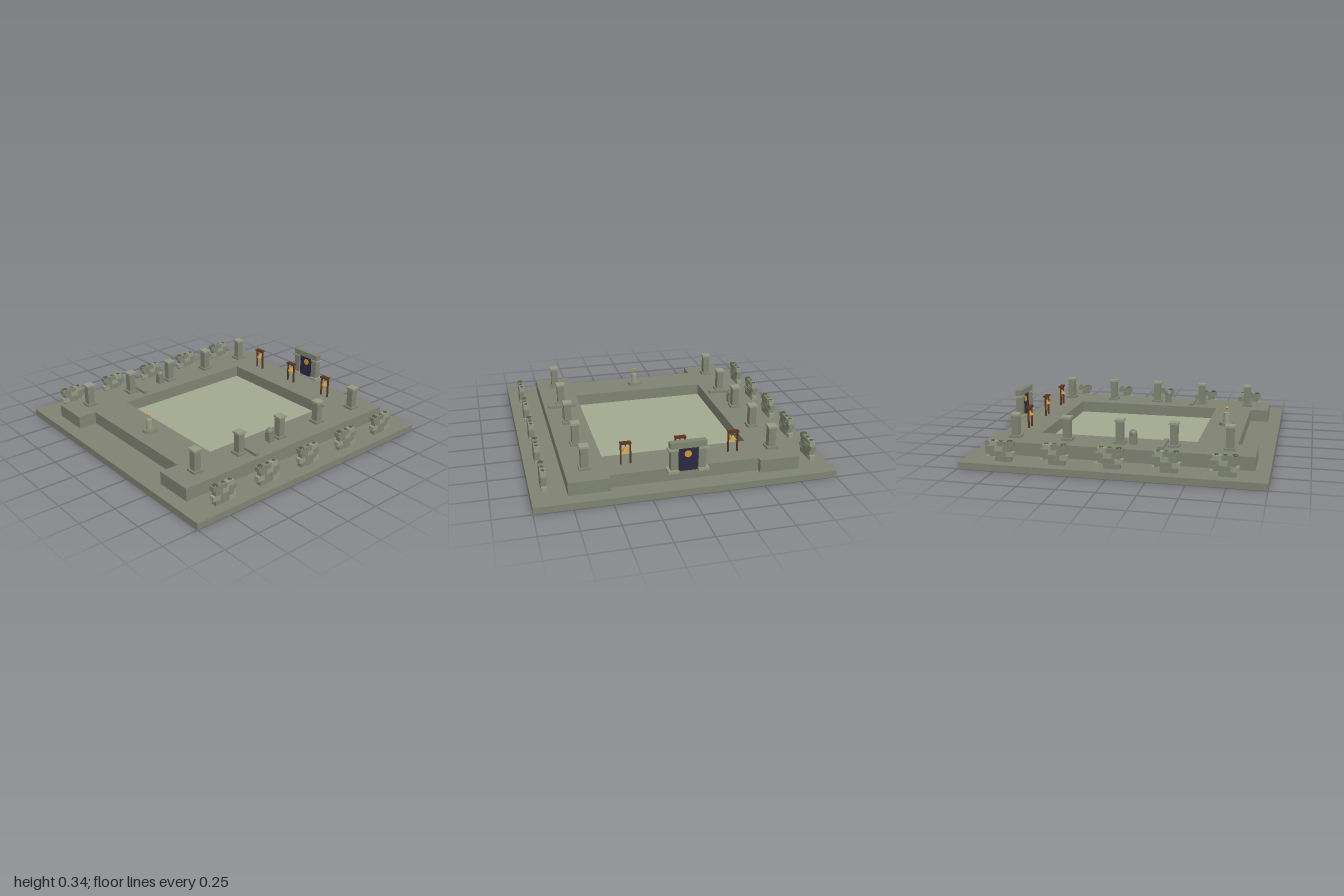
import * as THREE from 'three';

const mat = (color) => new THREE.MeshStandardMaterial({ color, flatShading: true });
const M = {
  stone: mat(0x7f8372), floor: mat(0xa3a88f), pale: mat(0x959a84), dark: mat(0x6f7463),
  moss: mat(0x4a5c3a), wood: mat(0x5c3420), gold: mat(0xc8963a), night: mat(0x2c2942),
};
const ROWS = [-0.73, -0.365, 0, 0.365, 0.73];
const DECK = 0.135;

function add(parent, name, geometry, material, x, y, z) {
  const m = new THREE.Mesh(geometry, material);
  m.name = name;
  m.position.set(x, y, z);
  parent.add(m);
  return m;
}

// Box given by its bottom height
const box = (parent, name, material, w, h, d, x, y, z) =>
  add(parent, name, new THREE.BoxGeometry(w, h, d), material, x, y + h / 2, z);

function group(parent, name, x, y, z) {
  const g = new THREE.Group();
  g.name = name;
  g.position.set(x, y, z);
  parent.add(g);
  return g;
}

// Raised walkway around the sunken court
function terrace(root) {
  const outline = [
    [-0.77, 0.905], [-0.5, 0.905], [-0.5, 0.77], [0.5, 0.77], [0.5, 0.905], [0.77, 0.905],
    [0.77, -0.905], [0.5, -0.905], [0.5, -0.865], [-0.5, -0.865], [-0.5, -0.905], [-0.77, -0.905],
  ];
  const court = [[-0.5, -0.595], [0.5, -0.595], [0.5, 0.5], [-0.5, 0.5]];
  const flat = (p) => new THREE.Vector2(p[0], -p[1]);
  const shape = new THREE.Shape(outline.map(flat));
  shape.holes.push(new THREE.Path(court.map(flat)));
  const geo = new THREE.ExtrudeGeometry(shape, { depth: DECK - 0.045, bevelEnabled: false });
  geo.rotateX(-Math.PI / 2);
  add(root, 'terrace', geo, M.stone, 0, 0.045, 0);
}

function pillar(root, x, z) {
  const g = group(root, 'pillar', x, DECK, z);
  box(g, 'pillarBase', M.stone, 0.076, 0.016, 0.076, 0, 0, 0);
  box(g, 'pillarShaft', M.stone, 0.05, 0.135, 0.05, 0, 0.016, 0);
  box(g, 'pillarCap', M.pale, 0.064, 0.014, 0.064, 0, 0.151, 0);
}

// Broken brick wall with alternating courses and moss on top
function ruinedWall(root, x, z) {
  const g = group(root, 'ruinedWall', x, 0.045, z);
  const h = 0.034;
  for (let r = 0; r < 4; r++) {
    for (let i = 0; i < 3; i++) {
      const shift = r % 2 ? 0.011 : -0.007;
      const tone = (i + r) % 3 === 0 ? M.pale : M.stone;
      box(g, 'brick', tone, 0.036, h - 0.001, 0.054, 0, r * h, (i - 1) * 0.055 + shift);
    }
  }
  for (const [mz, s] of [[0.066, 0.02], [0.005, 0.013], [-0.05, 0.015]]) {
    const moss = add(g, 'moss', new THREE.SphereGeometry(s, 8, 6), M.moss, 0, 0.137, mz);
    moss.scale.y = 0.3;
  }
}

// Wooden frame with a hanging bell
function bellFrame(root, x) {
  const g = group(root, 'bellFrame', x, DECK, -0.73);
  for (const s of [-1, 1]) box(g, 'post', M.wood, 0.009, 0.145, 0.012, s * 0.032, 0, 0);
  box(g, 'beam', M.wood, 0.074, 0.011, 0.032, 0, 0.143, 0);
  box(g, 'hanger', M.wood, 0.004, 0.025, 0.004, 0, 0.122, 0);
  add(g, 'bell', new THREE.ConeGeometry(0.027, 0.036, 6), M.gold, 0, 0.107, 0);
}

function portal(root) {
  const g = group(root, 'portal', 0, DECK, -0.91);
  for (const s of [-1, 1]) {
    box(g, 'portalFoot', M.pale, 0.07, 0.018, 0.075, s * 0.1, 0, 0);
    box(g, 'portalColumn', M.stone, 0.05, 0.14, 0.045, s * 0.092, 0.018, 0);
    box(g, 'portalCapital', M.pale, 0.066, 0.012, 0.058, s * 0.1, 0.152, 0);
  }
  box(g, 'lintel', M.stone, 0.24, 0.042, 0.045, 0, 0.164, 0);
  box(g, 'portalPanel', M.night, 0.15, 0.164, 0.016, 0, 0, 0);
  const disc = add(g, 'portalMedallion', new THREE.CylinderGeometry(0.024, 0.024, 0.024, 12), M.gold, 0, 0.118, 0);
  disc.rotation.x = Math.PI / 2;
}

function altar(root) {
  const g = group(root, 'altar', 0, DECK, 0.635);
  add(g, 'altarBase', new THREE.CylinderGeometry(0.05, 0.053, 0.02, 20), M.stone, 0, 0.01, 0);
  add(g, 'altarColumn', new THREE.CylinderGeometry(0.02, 0.024, 0.07, 12), M.pale, 0, 0.055, 0);
  add(g, 'altarCrystal', new THREE.OctahedronGeometry(0.018), M.gold, 0, 0.128, 0).scale.y = 0.7;
}

export function createModel() {
  const root = new THREE.Group();
  root.name = 'templeCourt';
  box(root, 'groundSlab', M.stone, 2, 0.045, 2, 0, 0, 0);
  terrace(root);
  box(root, 'courtFloor', M.floor, 1, 0.006, 1.095, 0, 0.045, -0.0475);

  for (const s of [-1, 1]) {
    for (const z of ROWS) {
      pillar(root, s * 0.637, z);
      ruinedWall(root, s * 0.908, z - 0.005);
    }
    box(root, 'bench', M.stone, 0.21, 0.02, 0.032, s * 0.637, DECK, 0.295);
    // Small guardian figure: block body and round head
    const g = group(root, 'guardian', s * 0.637, DECK, 0.09);
    box(g, 'guardianBody', M.stone, 0.046, 0.062, 0.046, 0, 0, 0);
    add(g, 'guardianHead', new THREE.SphereGeometry(0.027, 10, 8), M.stone, 0, 0.073, 0);
  }
  for (const x of [-0.365, 0, 0.365]) bellFrame(root, x);
  portal(root);
  altar(root);
  return root;
}
